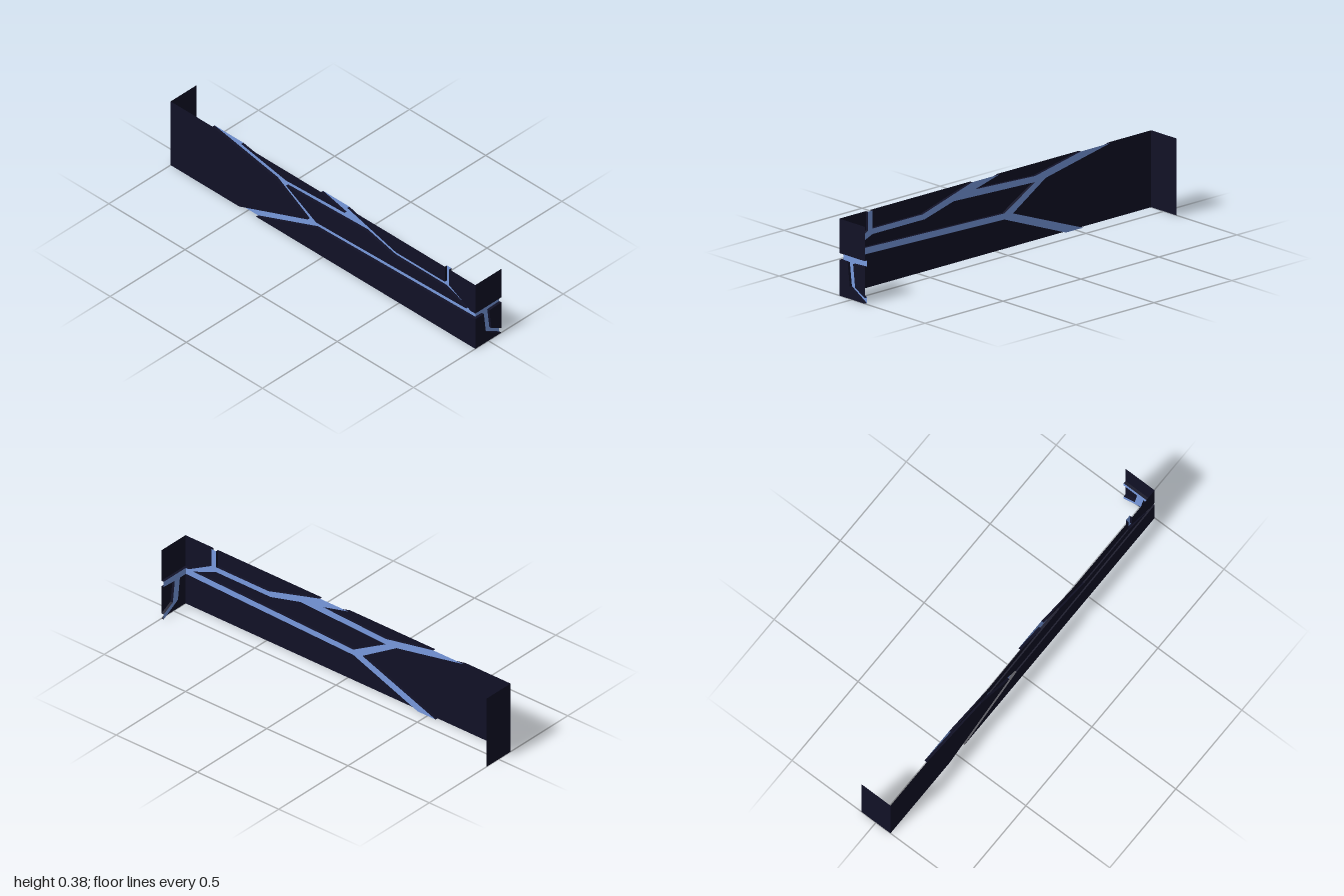
import * as THREE from 'three';

const H = 0.378, Z = 0.087, DEPTH = 0.014;
const dark = new THREE.MeshStandardMaterial({ color: 0x111126, side: THREE.DoubleSide });
const blue = new THREE.MeshStandardMaterial({ color: 0x7799dd, side: THREE.DoubleSide });

const toShape = (pts) => new THREE.Shape(pts.map(([x, y]) => new THREE.Vector2(x, y)));

function addMesh(parent, name, geometry, material) {
  const mesh = new THREE.Mesh(geometry, material);
  mesh.name = name;
  parent.add(mesh);
  return mesh;
}

// Groove walls: every plate edge that is not on the panel's rim runs back to the groove floor
function grooveWalls(plates, halfWidth) {
  const onRim = (a, b) =>
    (a[0] === b[0] && Math.abs(a[0]) === halfWidth) || (a[1] === b[1] && (a[1] === 0 || a[1] === H));
  const pos = [];
  for (const pts of plates) {
    pts.forEach((a, i) => {
      const b = pts[(i + 1) % pts.length];
      if (onRim(a, b)) return;
      pos.push(...a, 0, ...a, -DEPTH, ...b, -DEPTH, ...a, 0, ...b, -DEPTH, ...b, 0);
    });
  }
  const geo = new THREE.BufferGeometry();
  geo.setAttribute('position', new THREE.Float32BufferAttribute(pos, 3));
  geo.computeVertexNormals();
  return geo;
}

// A panel made of flat plates with recessed glowing channels between them
function groovedPanel(name, halfWidth, plates, channel, island) {
  const panel = new THREE.Group();
  panel.name = name;
  addMesh(panel, name + 'Plates', new THREE.ShapeGeometry(plates.map(toShape)), dark);
  addMesh(panel, name + 'GrooveWalls', grooveWalls(plates, halfWidth), dark);
  const shape = toShape(channel);
  if (island) shape.holes.push(toShape(island));
  addMesh(panel, name + 'Channel', new THREE.ShapeGeometry(shape), blue).position.z = -DEPTH;
  return panel;
}

export function createModel() {
  const model = new THREE.Group();
  model.name = 'groovedPanelCover';

  // Front panel: corner points of the channel network
  const a = [-0.725, H], b = [-0.537, H], c = [-0.31, 0.297], d = [-0.243, 0.321];
  const e = [-0.243, 0.291], f = [0.142, 0.339], g = [-0.013, H], h = [0.16, H];
  const i = [0.28, 0.31], j = [0.478, 0.289], k = [0.465, 0.262], l = [0.8, 0.289];
  const m = [0.8, H], n = [0.829, H], o = [0.829, 0.284], p = [0.8, 0.262];
  const q = [0.97, 0.208], r = [0.94, 0.207], s = [-0.045, 0.18], t = [-0.1, 0.168];
  const u = [-0.045, 0.15], v = [-0.55, 0], w = [-0.44, 0];
  const island = [e, s, r, p, k, i];
  const front = groovedPanel('frontPanel', 1, [
    [[-1, 0], v, t, c, a, [-1, H]],
    [b, d, f, g],
    [h, j, l, m],
    [n, o, q, [1, 0.209], [1, H]],
    island,
    [w, [1, 0], [1, 0.176], u],
  ], [a, c, t, v, w, u, [1 - DEPTH, 0.176], [1 - DEPTH, 0.209], q, o, n, m, l, j, h, g, f, d, b], island);
  front.position.z = Z;
  model.add(front);

  // End panel on the model's left, its channel joining the front one at the corner
  const lowerFront = [[-0.03, 0.175], [-0.016, 0.06], [Z, 0]];
  const lowerBack = [[Z, 0.028], [0.021, 0.0625], [0.007, 0.176], [Z, 0.18]];
  const end = groovedPanel('leftEndPanel', Z, [
    [[-Z, 0.209], [Z, 0.209], [Z, H], [-Z, H]],
    [[-Z, 0.176], ...lowerFront, [-Z, 0]],
    lowerBack,
  ], [[DEPTH - Z, 0.176], ...lowerFront, ...lowerBack, [Z, 0.209], [DEPTH - Z, 0.209]]);
  end.rotation.y = Math.PI / 2;
  end.position.x = 1;
  model.add(end);

  // Plain end panel on the other side
  const plain = addMesh(model, 'rightEndPanel', new THREE.PlaneGeometry(2 * Z, H), dark);
  plain.rotation.y = -Math.PI / 2;
  plain.position.set(-1, H / 2, 0);

  return model;
}
